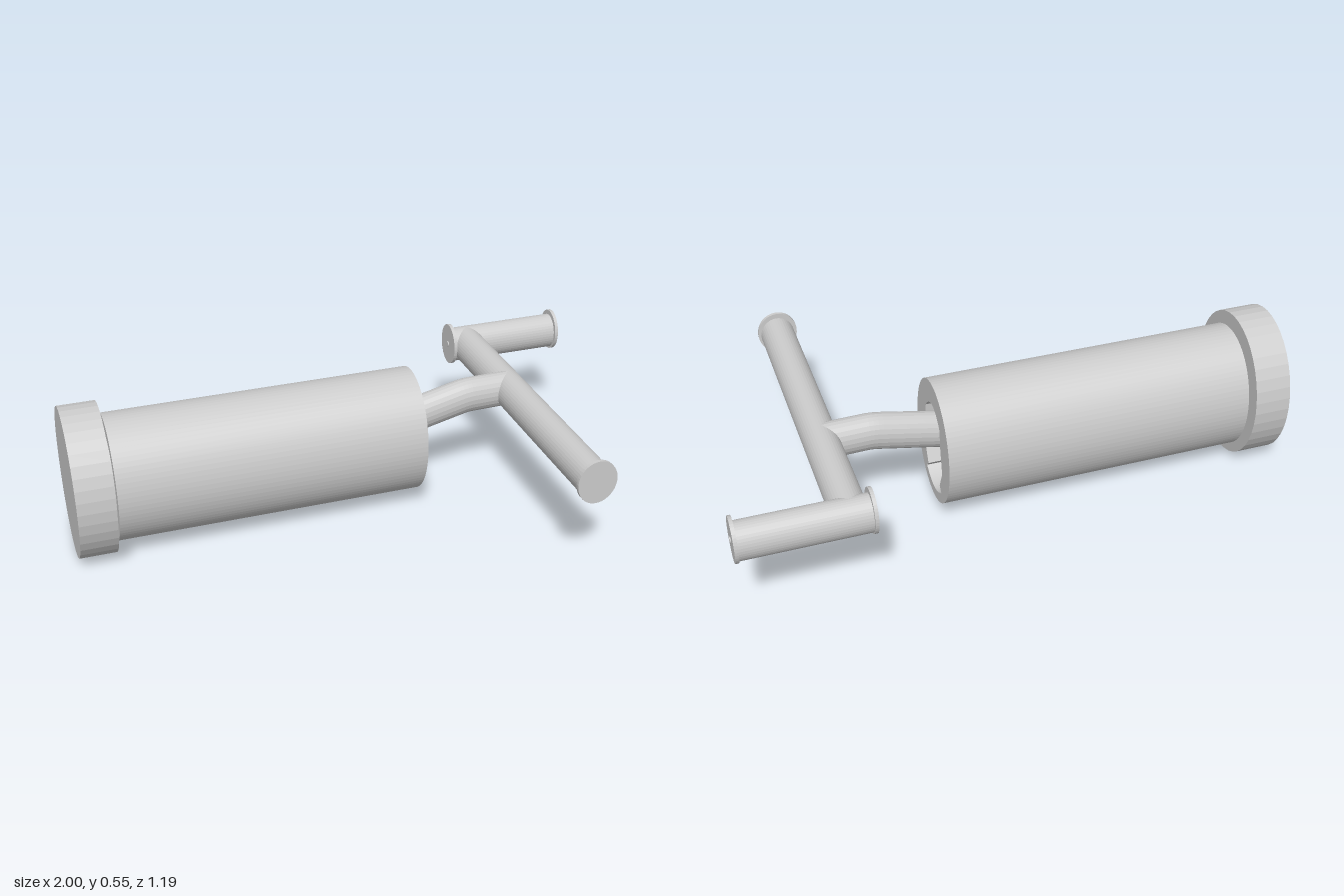
import * as THREE from 'three';

const SIDES = 40;
const material = new THREE.MeshStandardMaterial({ color: 0xcccccc, flatShading: true });

function add(group, name, geometry) {
  const mesh = new THREE.Mesh(geometry, material);
  mesh.name = name;
  group.add(mesh);
  return mesh;
}

// Elliptical rod along x, from x0 to x1
function rodX(x0, x1, y, z, ry, rz) {
  return new THREE.CylinderGeometry(1, 1, x1 - x0, SIDES)
    .rotateZ(Math.PI / 2).scale(1, ry, rz).translate((x0 + x1) / 2, y, z);
}

// Elliptical rod along z, from z0 to z1
function rodZ(z0, z1, x, y, rx, ry) {
  return new THREE.CylinderGeometry(1, 1, z1 - z0, SIDES)
    .rotateX(Math.PI / 2).scale(rx, ry, 1).translate(x, y, (z0 + z1) / 2);
}

export function createModel() {
  const model = new THREE.Group();
  model.name = 'plungerTool';
  const axisY = 0.272, axisZ = -0.12;

  // Hollow barrel with a keyhole-shaped opening
  const section = new THREE.Shape();
  section.absellipse(0, 0, 0.187, 0.232, 0, Math.PI * 2);
  const side = [[0.085, -0.163], [0.066, -0.142], [0.1, -0.072], [0.085, 0.02], [0.08, 0.1]];
  const hole = new THREE.Path();
  hole.moveTo(-side[0][0], side[0][1]);
  hole.quadraticCurveTo(0, -0.23, ...side[0]);
  side.slice(1).forEach(([a, b]) => hole.lineTo(a, b));
  hole.quadraticCurveTo(0, 0.2, -0.08, 0.1);
  side.slice(0, -1).reverse().forEach(([a, b]) => hole.lineTo(-a, b));
  section.holes.push(hole);
  const barrel = new THREE.ExtrudeGeometry(section, {
    depth: 1.1, bevelEnabled: false, curveSegments: SIDES,
  });
  barrel.rotateY(Math.PI / 2).translate(-0.86, axisY, axisZ);
  add(model, 'barrel', barrel);

  // End cap and the short neck joining it to the barrel
  add(model, 'endCap', rodX(-1, -0.87, 0.276, axisZ, 0.275, 0.223));
  add(model, 'neck', rodX(-0.88, -0.85, axisY, axisZ, 0.19, 0.15));

  // Bent rod, flattened in z, running from the barrel to the handle
  const bend = new THREE.CurvePath();
  const points = [[0.08, 0.285], [0.42, 0.36], [0.47, 0.367], [0.62, 0.367]]
    .map(([x, y]) => new THREE.Vector3(x, y, 0));
  bend.add(new THREE.LineCurve3(points[0], points[1]));
  bend.add(new THREE.QuadraticBezierCurve3(points[1], new THREE.Vector3(0.445, 0.366, 0), points[2]));
  bend.add(new THREE.LineCurve3(points[2], points[3]));
  const rod = new THREE.TubeGeometry(bend, 40, 0.066, 24).scale(1, 1, 0.78);
  const rodMesh = add(model, 'bentRod', rod);
  rodMesh.position.z = -0.108;
  rodMesh.rotation.y = 0.03;

  // Square seat holding the inner end of the rod
  const seat = new THREE.BoxGeometry(0.06, 0.14, 0.115).translate(0.08, 0.285, -0.108);
  add(model, 'rodSeat', seat);

  // Long handle with its end flange
  add(model, 'handleBar', rodZ(-0.53, 0.585, 0.625, 0.366, 0.06, 0.067));
  add(model, 'handleFlange', rodZ(0.58, 0.592, 0.624, 0.372, 0.071, 0.079));

  // Crossing grip with a flange at each end
  add(model, 'grip', rodX(0.555, 0.985, 0.366, -0.533, 0.067, 0.056));
  for (const x of [0.552, 0.982]) {
    add(model, 'gripFlange', rodX(x, x + 0.012, 0.372, -0.531, 0.079, 0.066));
    add(model, 'gripPin', rodX(x - 0.004, x + 0.016, 0.372, -0.531, 0.011, 0.009));
  }
  return model;
}
